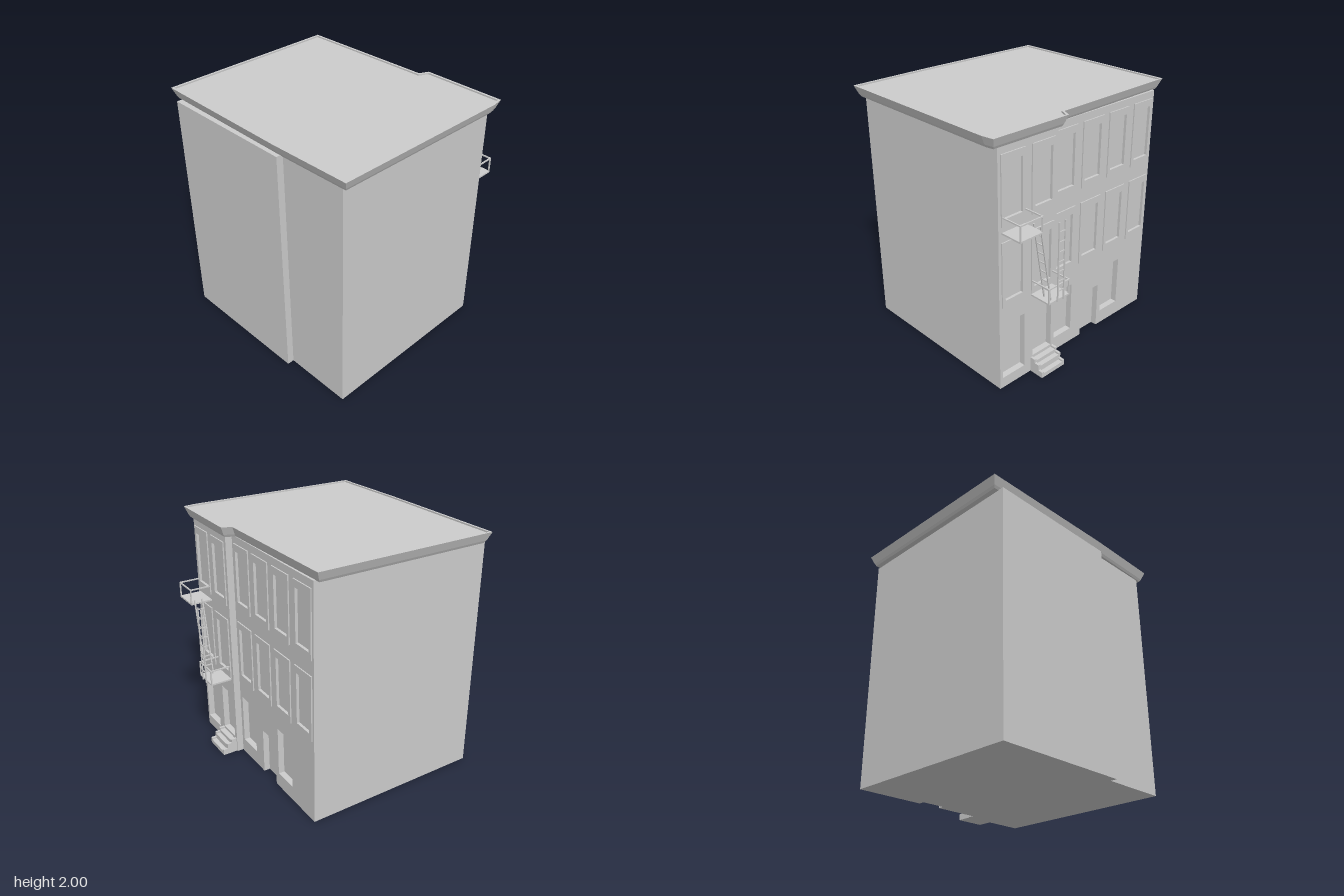
import * as THREE from 'three';

const material = new THREE.MeshStandardMaterial({ color: 0xcccccc, flatShading: true });
const FRONT_X = 0.67, REAR_X = 0.615, STEP_Z = 0.28, RECESS = 0.05, WALL_TOP = 1.918;

function add(parent, name, geometry) {
  const mesh = new THREE.Mesh(geometry, material);
  mesh.name = name;
  parent.add(mesh);
  return mesh;
}

// Box given by its minimum and maximum corners
function block(parent, name, [x0, y0, z0], [x1, y1, z1]) {
  add(parent, name, new THREE.BoxGeometry(x1 - x0, y1 - y0, z1 - z0))
    .position.set((x0 + x1) / 2, (y0 + y1) / 2, (z0 + z1) / 2);
}

// Thin square bar between two points
function bar(parent, name, from, to, size = 0.01) {
  const a = new THREE.Vector3(...from), b = new THREE.Vector3(...to);
  const mesh = add(parent, name, new THREE.BoxGeometry(size, size, a.distanceTo(b)));
  mesh.position.copy(a).add(b).multiplyScalar(0.5);
  mesh.lookAt(b);
}

// Rectangle on the facade, as points (-z, y)
const rect = ([z0, z1, y0, y1]) =>
  [[-z1, y0], [-z0, y0], [-z0, y1], [-z1, y1]].map(p => new THREE.Vector2(...p));

// Upright panel facing +x whose outer surface lies at x
function panel(parent, name, outline, holes, x, depth) {
  const shape = new THREE.Shape(outline);
  shape.holes = holes.map(h => new THREE.Path(rect(h)));
  const geometry = new THREE.ExtrudeGeometry(shape, { depth, bevelEnabled: false });
  geometry.rotateY(Math.PI / 2).translate(x - depth, 0, 0);
  add(parent, name, geometry);
}

// Move every edge of a closed outline inward by d, with mitred corners
function inset(points, d) {
  const n = points.length;
  return points.map((p, i) => {
    const u = p.clone().sub(points[(i + n - 1) % n]).normalize();
    const v = points[(i + 1) % n].clone().sub(p).normalize();
    const a = new THREE.Vector2(-u.y, u.x), b = new THREE.Vector2(-v.y, v.x);
    return a.clone().add(b).multiplyScalar(d / (1 + a.dot(b))).add(p);
  });
}

// Roof slab with flared cornice and raised rim, lofted from inset outlines
function roofGeometry() {
  const outline = [[-0.86, -0.925], [0.63, -0.925], [0.645, 0.2], [0.72, 0.235],
    [0.715, 0.91], [0.62, 0.925], [-0.86, 0.91], [-0.872, 0.25]].map(p => new THREE.Vector2(...p));
  const levels = [[0.037, 1.915], [0.026, 1.935], [0, 2], [0.018, 2], [0.018, 1.988]];
  const rings = levels.map(([d, y]) => inset(outline, d).map(p => [p.x, y, p.y]));
  const out = [], n = outline.length;
  for (let k = 0; k < rings.length - 1; k++) {
    const a = rings[k], b = rings[k + 1];
    for (let i = 0; i < n; i++) {
      const j = (i + 1) % n;
      out.push(a[i], b[i], b[j], a[i], b[j], a[j]);
    }
  }
  const top = rings[rings.length - 1];
  for (const [a, b, c] of THREE.ShapeUtils.triangulateShape(outline, [])) {
    out.push(rings[0][a], rings[0][b], rings[0][c], top[a], top[c], top[b]);
  }
  const geometry = new THREE.BufferGeometry();
  geometry.setAttribute('position', new THREE.Float32BufferAttribute(out.flat(), 3));
  geometry.computeVertexNormals();
  return geometry;
}

// Balcony with floor plate, corner posts and a three-sided rail
function balcony(parent, name, z0, z1, y) {
  const group = new THREE.Group();
  group.name = name;
  parent.add(group);
  const x = 0.845, rail = y + 0.127;
  block(group, 'balconyFloor', [FRONT_X, y, z0], [0.85, y + 0.013, z1]);
  for (const z of [z0 + 0.005, z1 - 0.005]) {
    bar(group, 'railPost', [x, y, z], [x, rail + 0.005, z]);
    bar(group, 'sideRail', [FRONT_X, rail, z], [x, rail, z]);
  }
  bar(group, 'frontRail', [x, rail, z0], [x, rail, z1]);
}

// Ladder from two side rails, each given by its lower and upper end
function ladder(parent, name, [a0, a1], [b0, b1]) {
  const group = new THREE.Group();
  group.name = name;
  parent.add(group);
  bar(group, 'ladderRail', a0, a1);
  bar(group, 'ladderRail', b0, b1);
  const at = (p, q, t) => p.map((v, i) => v + (q[i] - v) * t);
  for (let i = 1; i <= 7; i++) {
    const t = 0.015 + i * 0.123;
    bar(group, 'ladderRung', at(a0, a1, t), at(b0, b1, t), 0.008);
  }
}

export function createModel() {
  const model = new THREE.Group();
  model.name = 'building';

  // Main block: two halves slightly offset from each other
  const footprint = [[-0.815, 0.84], [FRONT_X - RECESS, 0.84], [FRONT_X - RECESS, STEP_Z],
    [REAR_X - RECESS, STEP_Z], [REAR_X - RECESS, -0.85], [-0.87, -0.85], [-0.87, STEP_Z], [-0.815, STEP_Z]];
  const core = new THREE.ExtrudeGeometry(
    new THREE.Shape(footprint.map(([x, z]) => new THREE.Vector2(x, -z))),
    { depth: WALL_TOP, bevelEnabled: false });
  add(model, 'mainBlock', core.rotateX(-Math.PI / 2));

  // Upper windows: frame, opening and set-back pane
  const frontHoles = [[0.595, 0.815, 0.087, 0.555], [0.315, 0.51, 0.135, 0.535]];
  const rearHoles = [[0.03, 0.245, 0.12, 0.535], [-0.54, -0.33, 0.12, 0.535]];
  const windows = new THREE.Group();
  windows.name = 'windows';
  model.add(windows);
  for (const y of [0.7, 1.34]) {
    for (const z of [0.705, 0.422, 0.138, -0.145, -0.432, -0.718]) {
      const front = z > STEP_Z, x = front ? FRONT_X : REAR_X;
      const opening = [z - 0.083, z + 0.083, y + 0.055, y + 0.463];
      (front ? frontHoles : rearHoles).push(opening);
      panel(windows, 'windowFrame', rect([z - 0.111, z + 0.111, y, y + 0.52]), [opening], x + 0.01, 0.012);
      panel(windows, 'windowPane', rect(opening), [], x - 0.012, 0.02);
    }
  }

  // Facade walls, the rear one with a doorway notch at the ground
  panel(model, 'frontFacade', rect([STEP_Z, 0.84, 0, WALL_TOP]), frontHoles, FRONT_X, RECESS);
  const rearOutline = [[-STEP_Z, 0], [0.09, 0], [0.09, 0.39], [0.29, 0.39], [0.29, 0],
    [0.85, 0], [0.85, WALL_TOP], [-STEP_Z, WALL_TOP]].map(p => new THREE.Vector2(...p));
  panel(model, 'rearFacade', rearOutline, rearHoles, REAR_X, RECESS);

  add(model, 'roofCornice', roofGeometry());

  // Entrance steps between two stepped side walls
  const steps = new THREE.Group();
  steps.name = 'entranceSteps';
  model.add(steps);
  for (const [x0, x1, h] of [[FRONT_X, 0.715, 0.125], [0.715, 0.755, 0.095], [0.755, 0.795, 0.05]]) {
    block(steps, 'tread', [x0, 0, 0.31], [x1, h - 0.015, 0.51]);
    block(steps, 'stepSideWall', [x0, 0, 0.29], [x1, h, 0.31]);
    block(steps, 'stepSideWall', [x0, 0, 0.51], [x1, h, 0.53]);
  }

  // Fire escape
  balcony(model, 'upperBalcony', 0.595, 0.81, 1.283);
  balcony(model, 'lowerBalcony', 0.315, 0.53, 0.678);
  ladder(model, 'slopedLadder',
    [[0.755, 0.685, 0.48], [0.755, 1.322, 0.592]], [[0.82, 0.685, 0.48], [0.82, 1.322, 0.592]]);
  ladder(model, 'uprightLadder',
    [[0.86, 0.68, 0.39], [0.86, 1.32, 0.39]], [[0.86, 0.68, 0.45], [0.86, 1.32, 0.45]]);

  return model;
}
